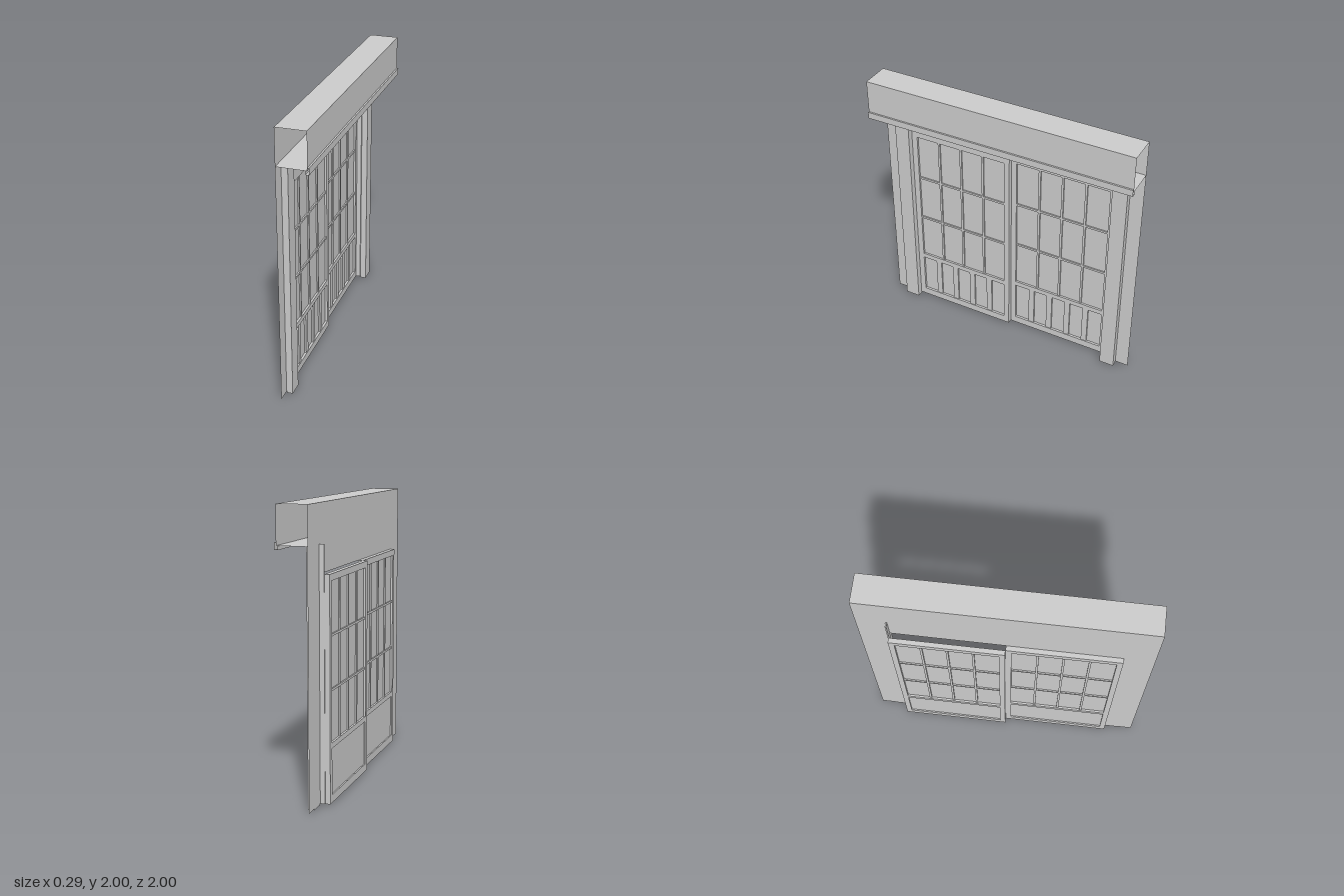
import * as THREE from 'three';

const mat = new THREE.MeshStandardMaterial({ color: 0xcccccc, side: THREE.DoubleSide, flatShading: true });

// Box given by its limits on each axis
function block(parent, name, [x0, x1], [y0, y1], [z0, z1]) {
  const mesh = new THREE.Mesh(new THREE.BoxGeometry(x1 - x0, y1 - y0, z1 - z0), mat);
  mesh.position.set((x0 + x1) / 2, (y0 + y1) / 2, (z0 + z1) / 2);
  mesh.name = name;
  parent.add(mesh);
  return mesh;
}

// Open sheet: an (x, y) polyline swept along z over the full width
function sheet(parent, name, points) {
  const pos = [], index = [];
  points.slice(1).forEach(([bx, by], i) => {
    const [ax, ay] = points[i], n = i * 4;
    pos.push(ax, ay, 1, ax, ay, -1, bx, by, -1, bx, by, 1);
    index.push(n, n + 1, n + 2, n, n + 2, n + 3);
  });
  const geo = new THREE.BufferGeometry();
  geo.setAttribute('position', new THREE.Float32BufferAttribute(pos, 3));
  geo.setIndex(index);
  geo.computeVertexNormals();
  const mesh = new THREE.Mesh(geo, mat);
  mesh.name = name;
  parent.add(mesh);
}

// Sliding door centred on z = 0, its back face on x = 0
function makeDoor(name) {
  const door = new THREE.Group();
  door.name = name;
  const T = 0.035, W = 0.395, B = 0.355;
  const full = [0, T], thin = [0.005, T - 0.005];

  // Stiles and rails
  for (const s of [-1, 1]) {
    const z = [s * B, s * W].sort((a, b) => a - b);
    block(door, 'stile', full, [0.01, 1.545], z);
  }
  for (const y of [[0.01, 0.065], [0.385, 0.422], [1.5, 1.545]]) block(door, 'rail', full, y, [-B, B]);

  // Glazing with its bars
  block(door, 'glazing', [0.015, 0.02], [0.422, 1.5], [-B, B]);
  for (let i = 1; i < 4; i++) {
    const z = -B + (i * 2 * B) / 4;
    block(door, 'uprightGlazingBar', thin, [0.422, 1.5], [z - 0.008, z + 0.008]);
  }
  for (const y of [0.777, 1.142]) block(door, 'crossGlazingBar', thin, [y - 0.008, y + 0.008], [-B, B]);

  // Lower panel, battened on the front only
  block(door, 'lowerPanel', [0.01, 0.018], [0.065, 0.385], [-B, B]);
  for (let i = 0; i < 4; i++) {
    const z = (i - 1.5) * 0.148;
    block(door, 'panelBatten', [0.018, 0.03], [0.065, 0.385], [z - 0.022, z + 0.022]);
  }
  return door;
}

export function createModel() {
  const model = new THREE.Group();
  model.name = 'slidingDoorFront';

  // Thin wall with the door opening
  const shape = new THREE.Shape([
    [-1, 0.01], [-0.79, 0.01], [-0.79, 1.545], [0.79, 1.545],
    [0.79, 0.01], [1, 0.01], [1, 2], [-1, 2],
  ].map(([u, v]) => new THREE.Vector2(u, v)));
  const wall = new THREE.Mesh(new THREE.ShapeGeometry(shape).rotateY(Math.PI / 2), mat);
  wall.position.x = -0.08;
  wall.name = 'wall';
  model.add(wall);

  // Pillars and lintel
  block(model, 'leftPillar', [-0.079, -0.035], [0, 1.738], [0.792, 0.902]);
  block(model, 'rightPillar', [-0.079, -0.035], [0, 1.738], [-0.902, -0.792]);
  block(model, 'lintel', [-0.079, -0.05], [1.66, 1.738], [-0.792, 0.792]);

  // Hollow header, open at both ends, with a moulding along its lower edge
  sheet(model, 'header', [[-0.08, 2], [0.13, 2], [0.13, 1.74], [-0.08, 1.74]]);
  sheet(model, 'headerMoulding', [[0.13, 1.76], [0.142, 1.76], [0.142, 1.712], [0.118, 1.712], [0.118, 1.74]]);

  // Two doors on separate tracks, with a filler post behind the wall
  const near = makeDoor('leftDoor');
  near.position.set(-0.115, 0, 0.395);
  const far = makeDoor('rightDoor');
  far.position.set(-0.15, 0, -0.395);
  model.add(near, far);
  block(model, 'fillerPost', [-0.115, -0.081], [0.01, 1.738], [-0.795, -0.785]);

  return model;
}
